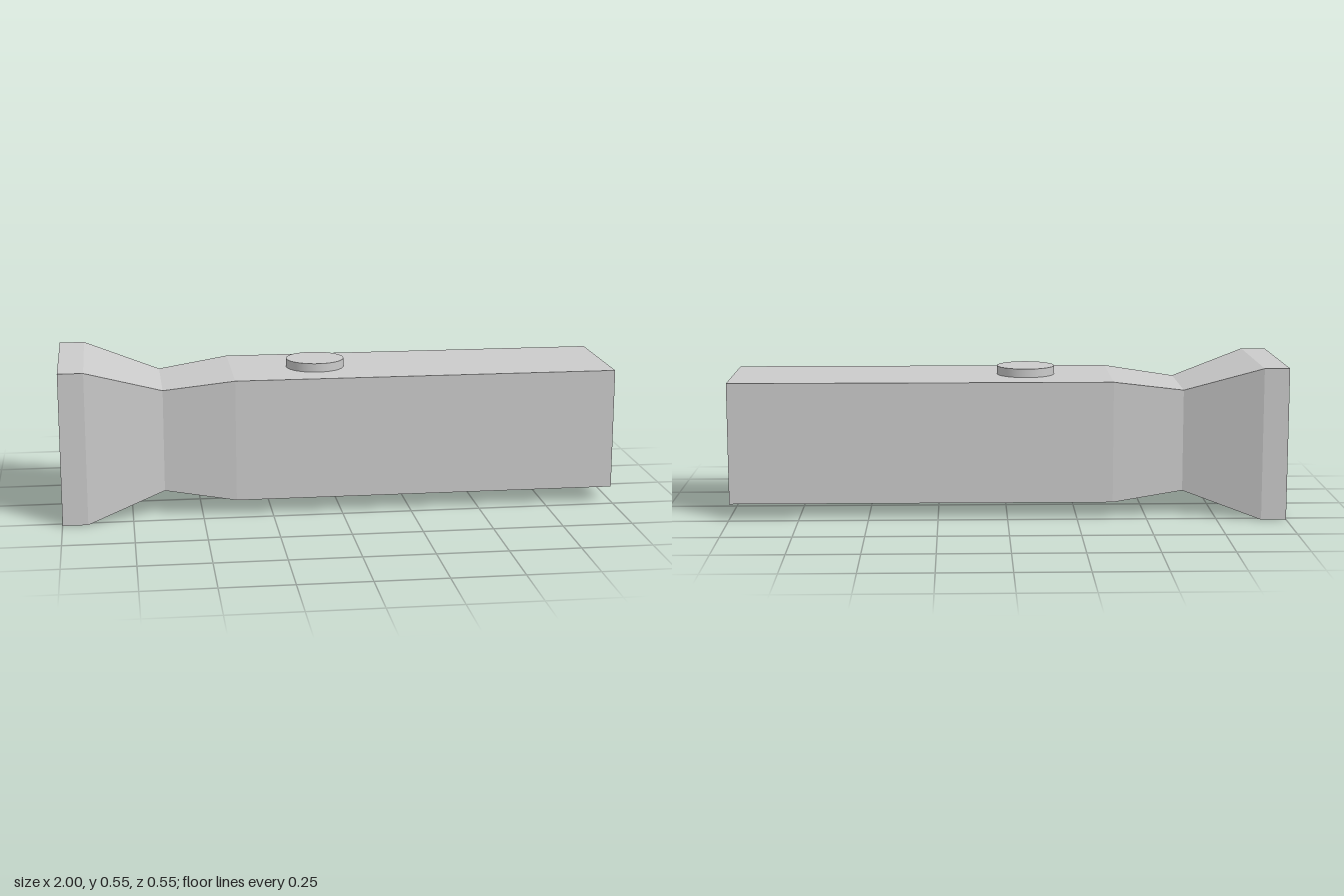
import * as THREE from 'three';

const CENTRE_Y = 0.274;

// Square cross-sections along the body: [x, half width]
const SECTIONS = [[-1, 0.274], [-0.91, 0.274], [-0.635, 0.184], [-0.38, 0.219], [1, 0.219]];

// Box whose rings of vertices are moved onto the sections
function squareLoft(sections) {
  const n = sections.length - 1;
  const box = new THREE.BoxGeometry(n, 2, 2, n, 1, 1);
  const p = box.attributes.position;
  for (let i = 0; i < p.count; i++) {
    const [x, half] = sections[Math.round(p.getX(i) + n / 2)];
    p.setXYZ(i, x, p.getY(i) * half, p.getZ(i) * half);
  }
  const flat = box.toNonIndexed();
  flat.computeVertexNormals();
  return flat;
}

export function createModel() {
  const group = new THREE.Group();
  group.name = 'flashlight';
  const grey = new THREE.MeshStandardMaterial({ color: 0xcccccc });

  // Handle, neck and flared head in one piece
  const body = new THREE.Mesh(squareLoft(SECTIONS), grey);
  body.name = 'body';
  body.position.y = CENTRE_Y;
  group.add(body);

  // Round switch on top, sunk slightly into the handle
  const button = new THREE.Mesh(new THREE.CylinderGeometry(0.105, 0.105, 0.06, 64), grey);
  button.name = 'button';
  button.position.set(-0.072, 0.494, 0.005);
  group.add(button);

  return group;
}
